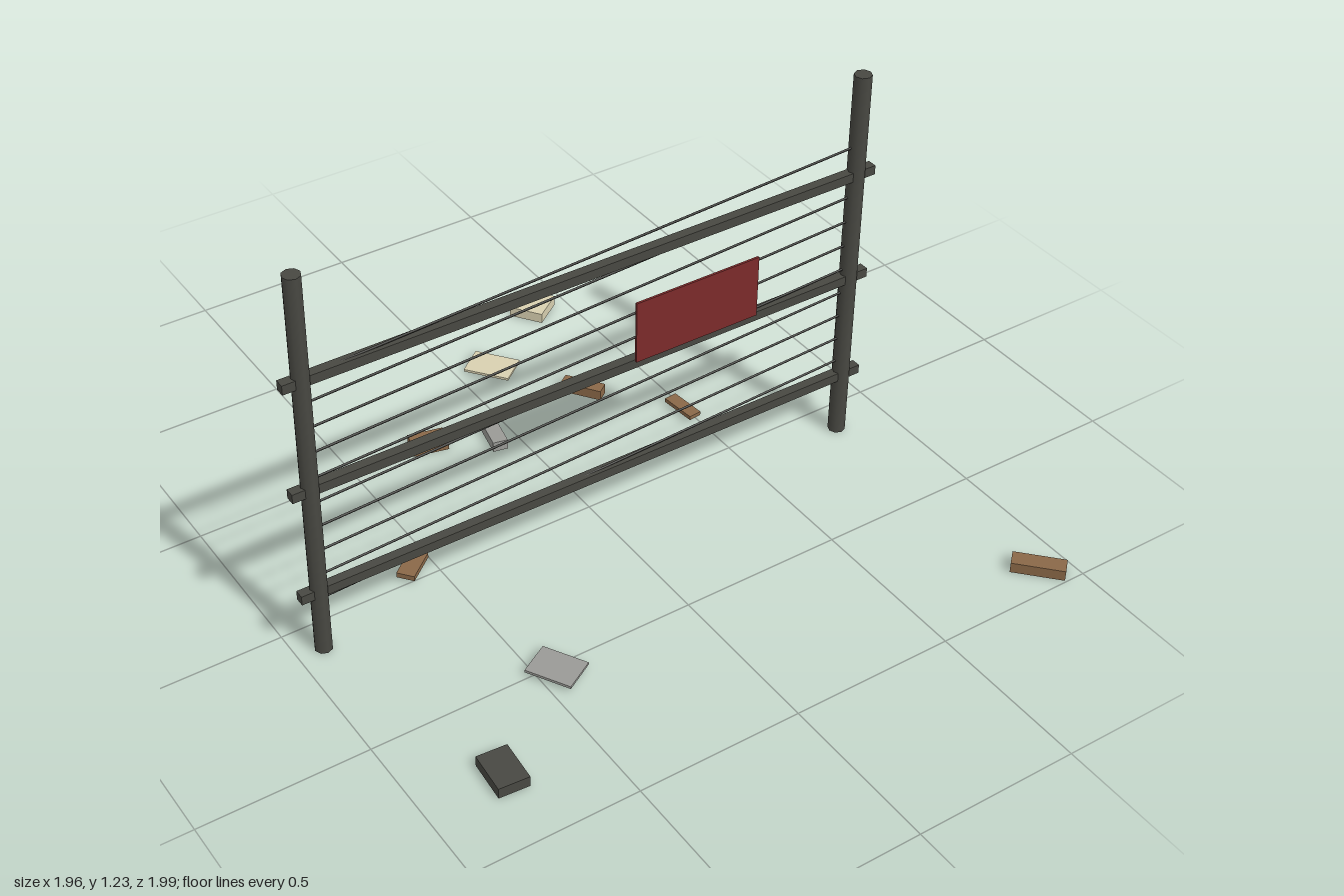
import * as THREE from 'three';

const mat = (name, color) => {
  const m = new THREE.MeshStandardMaterial({ color });
  m.name = name;
  return m;
};

export function createModel() {
  const model = new THREE.Group();
  model.name = 'wireFence';

  const iron = mat('dark iron', 0x484842);
  const wireDark = mat('wire black', 0x2a2a26);
  const red = mat('sign red', 0x7b2a2a);
  const brown = mat('rust brown', 0x8a6848);
  const beige = mat('pale card', 0xd8d0b0);
  const grey = mat('scrap grey', 0x9a9a96);

  const fenceZ = 0.098;
  const leftX = -0.922, rightX = 0.829;

  const add = (name, geometry, material, x, y, z) => {
    const mesh = new THREE.Mesh(geometry, material);
    mesh.name = name;
    mesh.position.set(x, y, z);
    model.add(mesh);
    return mesh;
  };

  // Upright posts
  const postGeo = new THREE.CylinderGeometry(0.026, 0.026, 1.226, 8);
  for (const x of [leftX, rightX]) add('post', postGeo, iron, x, 0.613, fenceZ);

  // Square horizontal rails, running a little past the posts
  const railGeo = new THREE.BoxGeometry(1.867, 0.029, 0.029);
  for (const y of [0.207, 0.556, 0.906]) add('rail', railGeo, iron, -0.0465, y, fenceZ);

  // Slanted strung wires
  const span = rightX - leftX, rise = 0.087;
  const wireGeo = new THREE.CylinderGeometry(0.0035, 0.0035, Math.hypot(span, rise), 6)
    .rotateZ(Math.PI / 2 + Math.atan2(rise, span));
  for (let i = 0; i < 10; i++) {
    add('wire', wireGeo, wireDark, (leftX + rightX) / 2, 0.22 + i * 0.0817, fenceZ);
  }

  // Warning sign hung in front of the wires
  add('sign', new THREE.BoxGeometry(0.408, 0.197, 0.007), red, 0.2735, 0.673, 0.126);

  // Scattered scraps: material, x, z, width, depth, turn, bottom, top
  const scraps = [
    [beige, 0.386, -0.923, 0.11, 0.11, 0.62, 0, 0.033],
    [beige, 0.108, -0.719, 0.102, 0.147, 0.66, 0.013, 0.021],
    [brown, -0.249, -0.498, 0.11, 0.066, -0.235, 0, 0.033],
    [grey, -0.064, -0.427, 0.046, 0.128, -0.21, 0, 0.033],
    [brown, 0.285, -0.47, 0.131, 0.042, -0.948, 0, 0.033],
    [brown, 0.486, -0.222, 0.041, 0.117, 0.1, 0.011, 0.024],
    [brown, -0.565, -0.042, 0.106, 0.054, 0.675, 0.011, 0.027],
    [grey, -0.446, 0.523, 0.104, 0.139, 0.52, 0.013, 0.021],
    [iron, -0.763, 0.765, 0.091, 0.129, -0.08, 0, 0.033],
    [brown, 0.904, 0.921, 0.154, 0.052, -0.82, 0, 0.033],
  ];
  for (const [material, x, z, w, d, turn, y0, y1] of scraps) {
    add('scrap', new THREE.BoxGeometry(w, y1 - y0, d), material, x, (y0 + y1) / 2, z)
      .rotation.y = turn;
  }

  return model;
}
